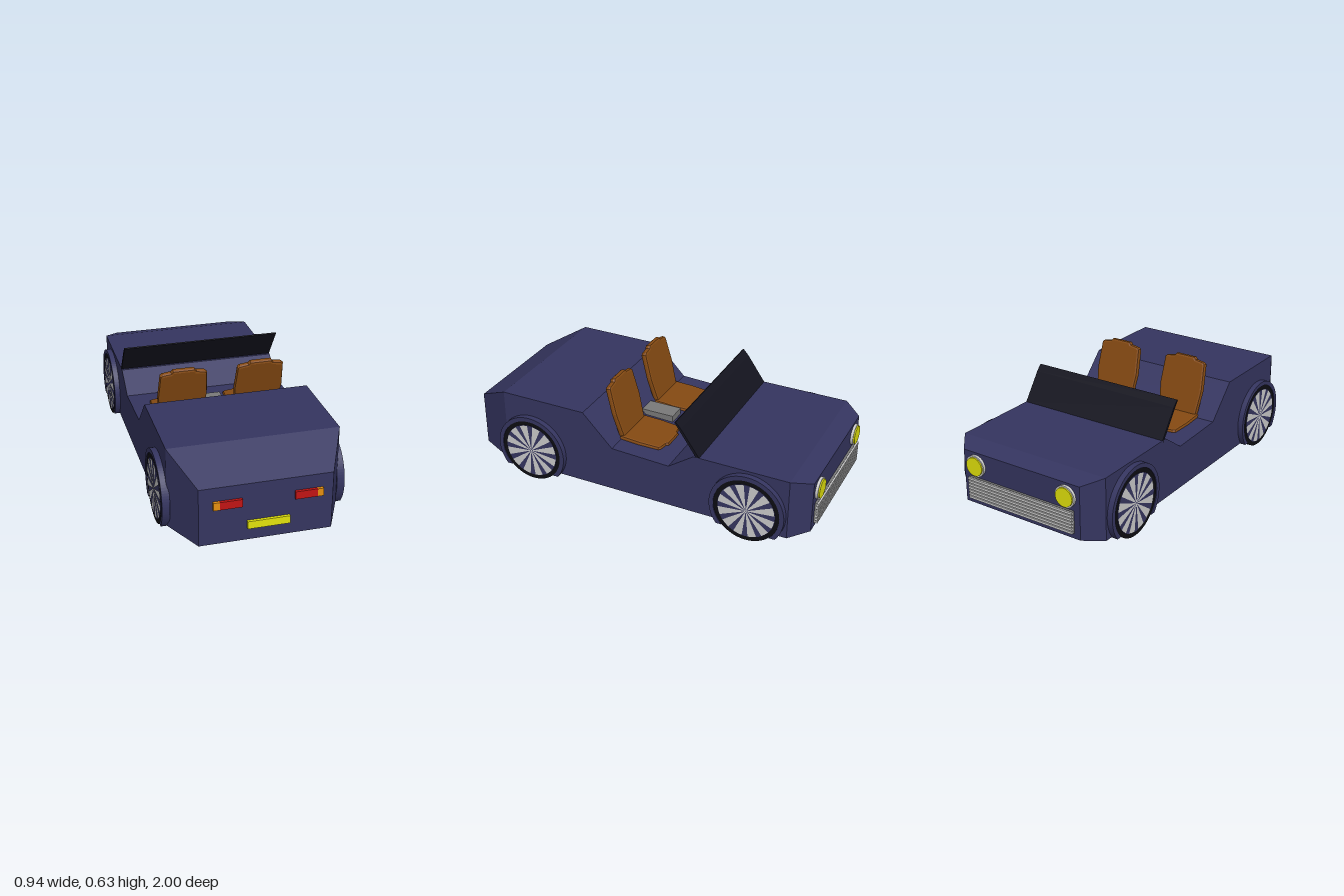
import * as THREE from 'three';

const mat = (color, side = THREE.FrontSide) =>
  new THREE.MeshStandardMaterial({ color, side, flatShading: true });

const navy = mat(0x353560), black = mat(0x0d0d12), glass = mat(0x14141f), leather = mat(0x854a12);
const grey = mat(0xcccccc), darkGrey = mat(0x7a7a7a);
const red = mat(0xc01414), orange = mat(0xe69010), yellow = mat(0xe2e20c);

function add(parent, name, geometry, material, x = 0, y = 0, z = 0) {
  const mesh = new THREE.Mesh(geometry, material);
  mesh.name = name;
  mesh.position.set(x, y, z);
  parent.add(mesh);
  return mesh;
}

// box given by its limits on each axis
const block = (parent, name, material, [x0, x1], [y0, y1], [z0, z1]) =>
  add(parent, name, new THREE.BoxGeometry(x1 - x0, y1 - y0, z1 - z0), material,
    (x0 + x1) / 2, (y0 + y1) / 2, (z0 + z1) / 2);

// shell lofted through rectangular stations: z, half width, bottom, top
function bodyGeometry() {
  const stations = [
    [-0.978, 0.36, 0.085, 0.372], [-0.88, 0.44, 0.062, 0.40], [-0.36, 0.44, 0.06, 0.40],
    [-0.22, 0.44, 0.06, 0.302], [0.11, 0.44, 0.06, 0.315], [0.28, 0.44, 0.06, 0.49],
    [0.77, 0.44, 0.06, 0.49], [0.985, 0.335, 0.06, 0.37],
  ];
  const positions = [], index = [];
  for (const [z, w, b, t] of stations) positions.push(-w, b, z, w, b, z, w, t, z, -w, t, z);
  for (let s = 0; s < stations.length - 1; s++) {
    for (let k = 0; k < 4; k++) {
      const a = s * 4 + k, b = s * 4 + (k + 1) % 4;
      index.push(a, b, b + 4, a, b + 4, a + 4);
    }
  }
  const e = (stations.length - 1) * 4;
  index.push(0, 2, 1, 0, 3, 2, e, e + 1, e + 2, e, e + 2, e + 3);
  const g = new THREE.BufferGeometry();
  g.setAttribute('position', new THREE.Float32BufferAttribute(positions, 3));
  g.setIndex(index);
  const flat = g.toNonIndexed();
  flat.computeVertexNormals();
  return flat;
}

// padded panel in the xy plane, growing up from y = 0, with a narrower tab at its tip
function padGeometry(height, base, wide, thickness) {
  const half = [[base, 0], [wide, height * 0.45], [wide - 0.008, height - 0.03],
    [wide - 0.02, height - 0.02], [0.068, height - 0.013], [0.058, height]];
  const points = [...half, ...half.map(([x, y]) => [-x, y]).reverse()];
  const shape = new THREE.Shape(points.map(([x, y]) => new THREE.Vector2(x, y)));
  const bevel = thickness * 0.35;
  const g = new THREE.ExtrudeGeometry(shape, {
    depth: thickness - 2 * bevel, bevelThickness: bevel, bevelSize: 0.012,
    bevelOffset: -0.012, bevelSegments: 2,
  });
  return g.translate(0, 0, bevel - thickness / 2);
}

function seat(x, z) {
  const group = new THREE.Group();
  group.name = 'seat';
  const back = add(group, 'seatBack', padGeometry(0.32, 0.118, 0.134, 0.034), leather, 0, 0.318, 0.118);
  back.rotation.x = 0.26;
  const cushion = add(group, 'seatCushion', padGeometry(0.255, 0.128, 0.132, 0.032), leather, 0, 0.318, 0.125);
  cushion.rotation.x = -Math.PI / 2 - 0.05;
  group.position.set(x, 0, z);
  return group;
}

// wheel centred on its axle, outer face towards +x
function wheel() {
  const group = new THREE.Group();
  group.name = 'wheel';
  const disc = (r, w) => new THREE.CylinderGeometry(r, r, w, 48).rotateZ(Math.PI / 2);
  add(group, 'tyre', disc(0.18, 0.106), black, 0.413);
  add(group, 'hubDisc', disc(0.156, 0.004), navy, 0.466);
  const wedges = 12, step = Math.PI * 2 / wedges;
  for (let i = 0; i < wedges; i++) {
    const wedge = new THREE.CircleGeometry(0.154, 4, (i + 0.2) * step, step * 0.6).rotateY(Math.PI / 2);
    add(group, 'spoke', wedge, grey, 0.4695);
  }
  // wheel arch, cut off level with the floor
  const cut = 0.125, ro = 0.204, ri = 0.18;
  const ao = Math.asin(cut / ro), ai = Math.asin(cut / ri);
  const arch = new THREE.Shape();
  arch.absarc(0, 0, ro, -ao, Math.PI + ao, false);
  arch.absarc(0, 0, ri, Math.PI + ai, -ai, true);
  add(group, 'wheelArch', new THREE.ExtrudeGeometry(arch, { depth: 0.04, bevelEnabled: false, curveSegments: 32 })
    .rotateY(Math.PI / 2), navy, 0.43);
  return group;
}

export function createModel() {
  const car = new THREE.Group();
  car.name = 'car';
  add(car, 'body', bodyGeometry(), navy);

  for (const z of [0.6, -0.667]) {
    for (const side of [1, -1]) {
      const w = wheel();
      w.position.set(0, 0.18, z);
      if (side < 0) w.rotation.y = Math.PI;
      car.add(w);
    }
  }

  // sloping windscreen, drawn as a side profile and extruded across the car
  const screen = new THREE.Shape([[0.385, 0.385], [0.253, 0.574], [0.26, 0.578], [0.29, 0.545], [0.392, 0.4]]
    .map(([u, v]) => new THREE.Vector2(u, v)));
  add(car, 'windscreen', new THREE.ExtrudeGeometry(screen, { depth: 0.88, bevelEnabled: false })
    .rotateY(Math.PI / 2), glass, -0.44);

  // cockpit
  car.add(seat(-0.212, 0), seat(0.208, -0.008));
  block(car, 'centreConsole', darkGrey, [-0.05, 0.05], [0.29, 0.345], [-0.055, 0.13]);

  // grille with slats
  block(car, 'grille', darkGrey, [-0.325, 0.325], [0.115, 0.235], [-0.99, -0.96]);
  for (let i = 0; i < 7; i++) {
    const y = 0.123 + i * 0.0173;
    block(car, 'grilleSlat', grey, [-0.325, 0.325], [y - 0.006, y + 0.006], [-0.999, -0.985]);
  }

  // headlights
  for (const x of [-0.28, 0.28]) {
    const lamp = (r, d) => new THREE.CylinderGeometry(r, r, d, 32).rotateX(Math.PI / 2);
    add(car, 'headlightRim', lamp(0.058, 0.03), grey, x, 0.302, -0.977);
    add(car, 'headlight', lamp(0.05, 0.03), yellow, x, 0.302, -0.984);
  }

  // tail lights, indicators and plate
  const tail = [0.98, 1], row = [0.255, 0.297];
  block(car, 'tailLight', red, [-0.235, -0.122], row, tail);
  block(car, 'indicator', orange, [-0.266, -0.235], row, tail);
  block(car, 'tailLight', red, [0.141, 0.253], row, tail);
  block(car, 'indicator', orange, [0.253, 0.283], row, tail);
  block(car, 'plate', yellow, [-0.095, 0.118], [0.127, 0.168], tail);

  return car;
}
